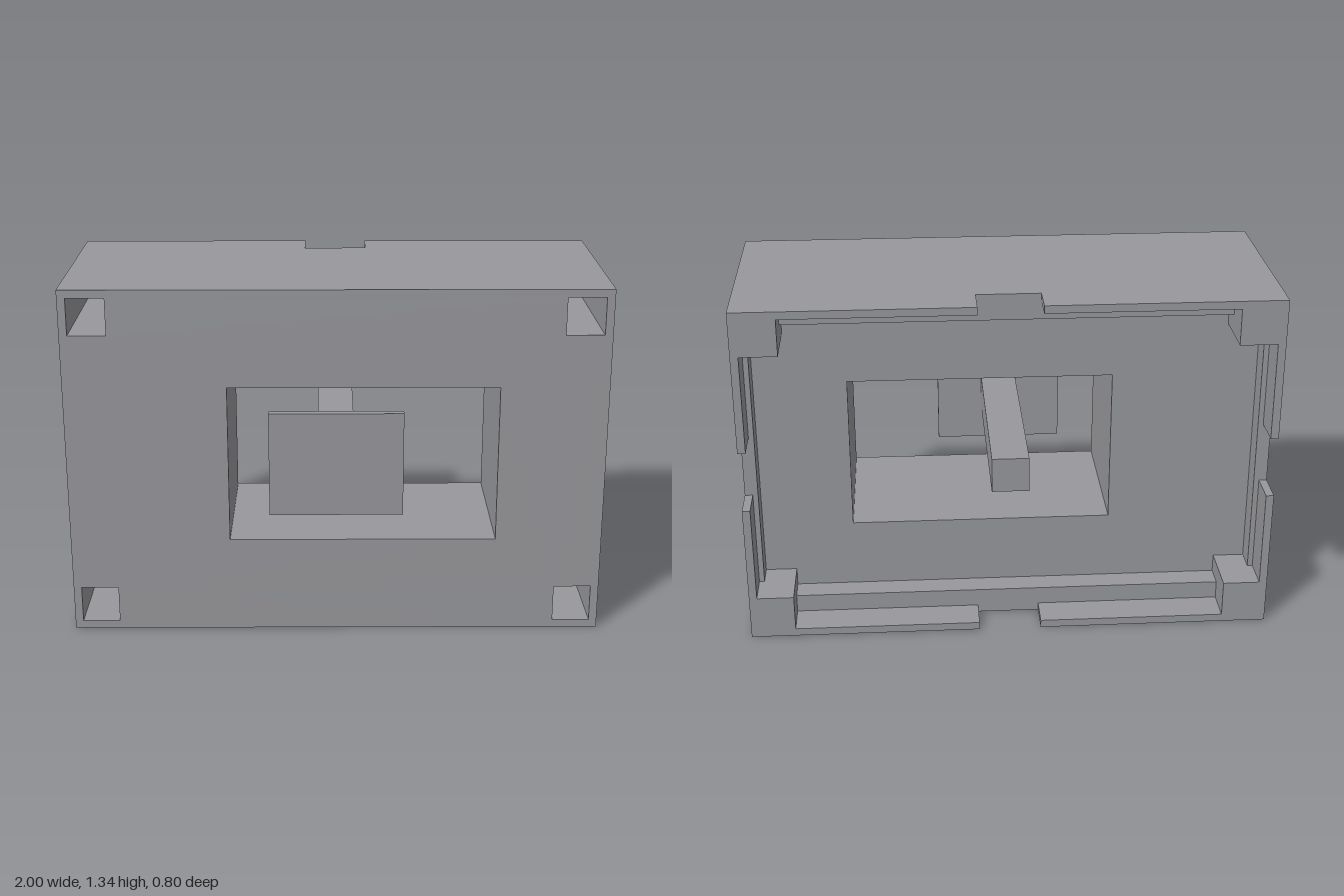
import * as THREE from 'three';

const W = 1, H = 0.6675, MID = 0.6675; // half width, half height, centre height

const polygon = (pts) => new THREE.Shape(pts.map(([x, y]) => new THREE.Vector2(x, y)));
const rect = (x0, x1, y0, y1) => polygon([[x0, y0], [x1, y0], [x1, y1], [x0, y1]]);

export function createModel() {
  const model = new THREE.Group();
  model.name = 'housing';
  const grey = new THREE.MeshStandardMaterial({ color: 0x98999d });
  grey.name = 'plain grey';

  const add = (name, geometry) => {
    const mesh = new THREE.Mesh(geometry, grey);
    mesh.name = name;
    model.add(mesh);
    return mesh;
  };
  // Flat outline drawn about the centre of the face, extruded from z0 to z1
  const slab = (name, shape, z0, z1) => {
    const g = new THREE.ExtrudeGeometry(shape, { depth: z1 - z0, bevelEnabled: false });
    return add(name, g.translate(0, MID, z0));
  };
  const corners = [[1, 1], [-1, 1], [-1, -1], [1, -1]];

  // Thick front block with an off-centre window and a square socket in each corner
  const front = rect(-W, W, -H, H);
  front.holes.push(rect(-0.4, 0.6, -0.3, 0.3));
  for (const [sx, sy] of corners) {
    const cx = 0.9 * sx, cy = (H - 0.1) * sy;
    front.holes.push(rect(cx - 0.07, cx + 0.07, cy - 0.07, cy + 0.07));
  }
  slab('frontBlock', front, -0.18, 0.4);

  // Stepped lip around the rear recess, leaving solid corners
  const lip = rect(-W, W, -H, H);
  const sx = 0.95, px = 0.83, sy = H - 0.1, py = H - 0.17;
  lip.holes.push(polygon([
    [px, -sy], [px, -py], [sx, -py], [sx, py], [px, py], [px, sy],
    [-px, sy], [-px, py], [-sx, py], [-sx, -py], [-px, -py], [-px, -sy],
  ]));
  slab('rearLip', lip, -0.27, -0.18);

  // Thin rear rim: four corner pieces with posts, separated by notches
  const n = 0.119, t = 0.03;
  for (const [mx, my] of corners) {
    const pts = [
      [n, H], [W, H], [W, n], [W - t, n], [W - t, H - 0.17],
      [0.83, H - 0.17], [0.83, H - t], [n, H - t],
    ].map(([x, y]) => [x * mx, y * my]);
    slab('rimCorner', polygon(pts), -0.4, -0.27);
  }

  // Floating button plate, flush with the front, on a long square stem
  add('buttonPlate', new THREE.BoxGeometry(0.5, 0.4, 0.03)).position.set(0, MID, 0.385);
  add('buttonStem', new THREE.BoxGeometry(0.14, 0.135, 0.77)).position.set(0, MID, -0.015);

  return model;
}
